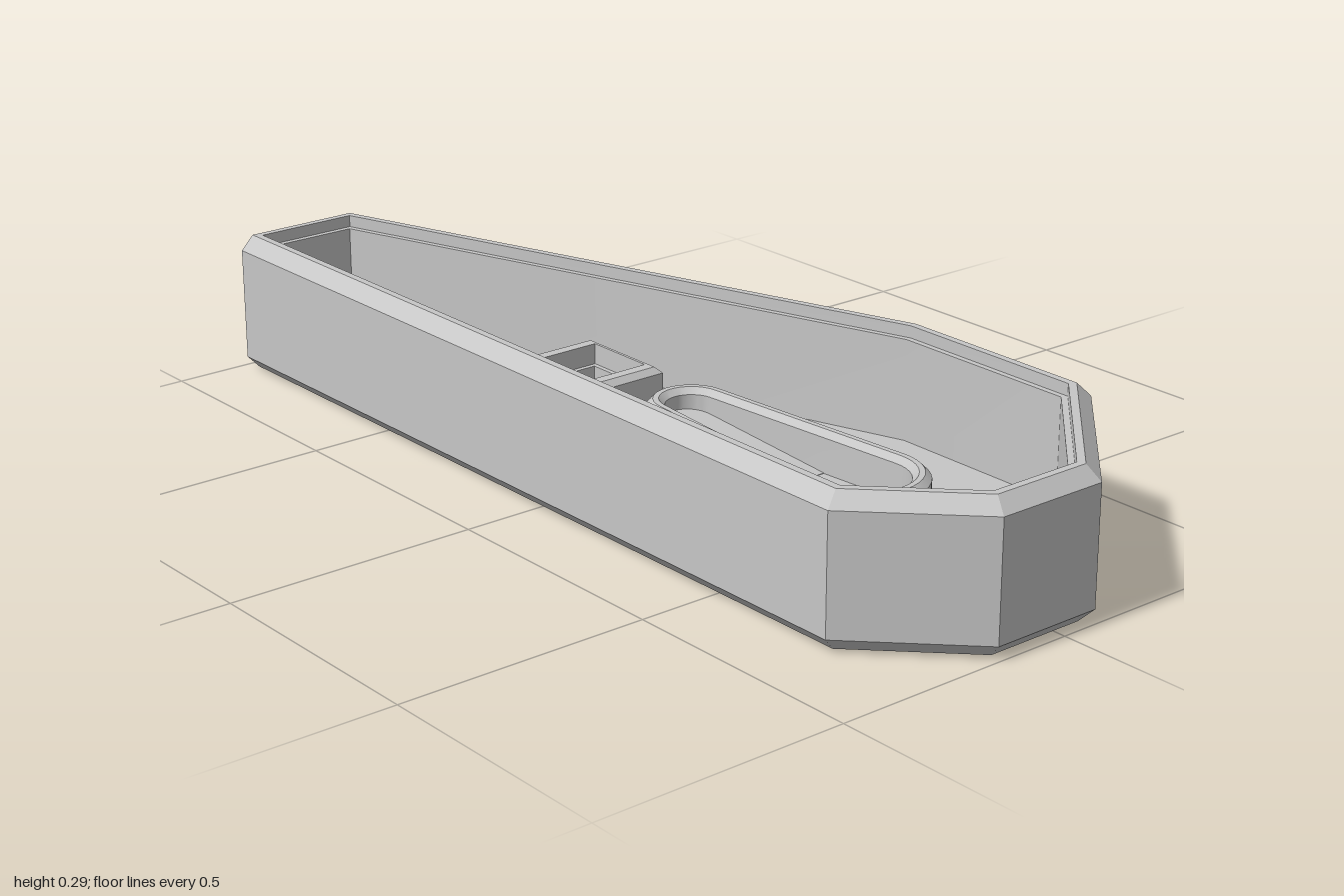
import * as THREE from 'three';
import { toCreasedNormals } from 'three/addons/utils/BufferGeometryUtils.js';

const FLOOR = 0.06;

// Skin between stacked outlines; each ring is { pts: [[x, z], ...], y }
function loft(rings) {
  const pos = [];
  for (let i = 0; i < rings.length - 1; i++) {
    const lo = rings[i], hi = rings[i + 1], n = lo.pts.length;
    for (let j = 0; j < n; j++) {
      const k = (j + 1) % n;
      const v = (r, m) => [r.pts[m][0], r.y, r.pts[m][1]];
      const a = v(lo, j), b = v(lo, k), c = v(hi, j), d = v(hi, k);
      pos.push(...a, ...c, ...b, ...b, ...c, ...d);
    }
  }
  const g = new THREE.BufferGeometry();
  g.setAttribute('position', new THREE.Float32BufferAttribute(pos, 3));
  return toCreasedNormals(g, 0.45);
}

// Move every edge of a clockwise outline inwards by d
function inset(pts, d) {
  const n = pts.length;
  const normal = (a, b) => {
    const dx = b[0] - a[0], dz = b[1] - a[1], l = Math.hypot(dx, dz);
    return [-dz / l, dx / l];
  };
  return pts.map((p, i) => {
    const u = normal(pts[(i + n - 1) % n], p), w = normal(p, pts[(i + 1) % n]);
    const s = d / (1 + u[0] * w[0] + u[1] * w[1]);
    return [p[0] + (u[0] + w[0]) * s, p[1] + (u[1] + w[1]) * s];
  });
}

// Upright slab from an outline in x, z; holes run the other way round
const toVec = (pts) => pts.map(([x, z]) => new THREE.Vector2(x, -z));
function slab(pts, holes, height) {
  const shape = new THREE.Shape(toVec(pts).reverse());
  holes.forEach((h) => shape.holes.push(new THREE.Path(toVec(h))));
  return new THREE.ExtrudeGeometry(shape, { depth: height, bevelEnabled: false }).rotateX(-Math.PI / 2);
}

const rect = (cx, cz, hx, hz) => [[cx - hx, cz - hz], [cx + hx, cz - hz], [cx + hx, cz + hz], [cx - hx, cz + hz]];

function arc(cz, r, from, to, steps) {
  return Array.from({ length: steps + 1 }, (_, i) => {
    const t = from + (to - from) * i / steps;
    return [r * Math.cos(t), cz + r * Math.sin(t)];
  });
}

// Teardrop: a wide round end at the front, a narrow one at the back
const WIDE = { z: 0.5, r: 0.125 }, NARROW = { z: 0.03, r: 0.085 };
const TILT = Math.asin((WIDE.r - NARROW.r) / (WIDE.z - NARROW.z));
const narrowArc = (d) => arc(NARROW.z, NARROW.r - d, Math.PI + TILT, 2 * Math.PI - TILT, 16);
const teardrop = (d) => [...arc(WIDE.z, WIDE.r - d, -TILT, Math.PI + TILT, 20), ...narrowArc(d)];

export function createModel() {
  const model = new THREE.Group();
  const grey = new THREE.MeshStandardMaterial({ color: 0xc6c6c6 });
  grey.name = 'grey';
  const add = (name, geometry) => {
    const mesh = new THREE.Mesh(geometry, grey);
    mesh.name = name;
    model.add(mesh);
  };

  // Tray walls: bevelled outside, stepped lip inside
  const sharp = [[-0.357, -1], [-0.073, -1], [0.357, 0.285], [0.357, 0.71], [0.072, 1], [-0.157, 1], [-0.357, 0.8]];
  const outer = [[-0.357, -0.973], [-0.33, -1], [-0.1, -1], [-0.064, -0.973], ...sharp.slice(2)];
  const wall = (d) => {
    const p = inset(sharp, d);
    return [p[0], p[0], p[1], p[1], ...p.slice(2)];
  };
  add('trayWalls', loft([
    { pts: wall(0.027), y: 0 }, { pts: outer, y: 0.028 }, { pts: outer, y: 0.258 },
    { pts: wall(0.027), y: 0.286 }, { pts: wall(0.042), y: 0.286 }, { pts: wall(0.042), y: 0.262 },
    { pts: wall(0.054), y: 0.262 }, { pts: wall(0.054), y: 0.03 },
  ]));

  // Floor with a row of slanted openings
  const openings = [0, 1, 2, 3].map((i) => {
    const z = -0.92 + i * 0.457;
    return [[-0.3, z], [-0.135, z + 0.163], [-0.135, z + 0.463], [-0.3, z + 0.3]];
  });
  add('floor', slab(inset(sharp, 0.027), openings, FLOOR));

  // Two square sockets, the front one turned by a quarter
  const socket = (name, cx, cz, hx, hz, ix, iz) => add(name, loft([
    { pts: rect(cx, cz, hx, hz), y: FLOOR }, { pts: rect(cx, cz, hx, hz), y: 0.13 },
    { pts: rect(cx, cz, hx - 0.012, hz - 0.012), y: 0.142 },
    { pts: rect(cx, cz, ix, iz), y: 0.142 }, { pts: rect(cx, cz, ix, iz), y: 0.1 },
    { pts: rect(cx, cz, ix - 0.01, iz - 0.01), y: 0.1 }, { pts: rect(cx, cz, ix - 0.01, iz - 0.01), y: FLOOR },
  ]));
  socket('backSocket', -0.016, -0.247, 0.082, 0.112, 0.064, 0.078);
  socket('frontSocket', -0.017, 0.84, 0.112, 0.082, 0.078, 0.064);

  // Teardrop rim
  add('teardropRim', loft([
    { pts: teardrop(0), y: FLOOR }, { pts: teardrop(0), y: 0.13 }, { pts: teardrop(0.012), y: 0.142 },
    { pts: teardrop(0.023), y: 0.142 }, { pts: teardrop(0.035), y: 0.13 }, { pts: teardrop(0.035), y: FLOOR },
  ]));

  // Ramp inside the narrow end, sloping down to the front
  const rampEnd = 0.32;
  const halfWidth = (NARROW.r - 0.035 + Math.sin(TILT) * (rampEnd - NARROW.z)) / Math.cos(TILT);
  const ramp = slab([...narrowArc(0.035), [halfWidth, rampEnd], [-halfWidth, rampEnd]], [], 1);
  const p = ramp.attributes.position;
  for (let i = 0; i < p.count; i++) {
    const rise = 0.001 + (rampEnd - p.getZ(i)) * 0.12;
    p.setY(i, FLOOR + (p.getY(i) > 0.5 ? rise : 0));
  }
  ramp.computeVertexNormals();
  add('teardropRamp', ramp);

  // Low round ring in the wide end
  const circle = (r) => arc(0.495, r, 0, 2 * Math.PI * 31 / 32, 31);
  add('pivotRing', loft([
    { pts: circle(0.082), y: FLOOR }, { pts: circle(0.082), y: 0.072 },
    { pts: circle(0.068), y: 0.072 }, { pts: circle(0.068), y: FLOOR },
  ]));

  return model;
}
